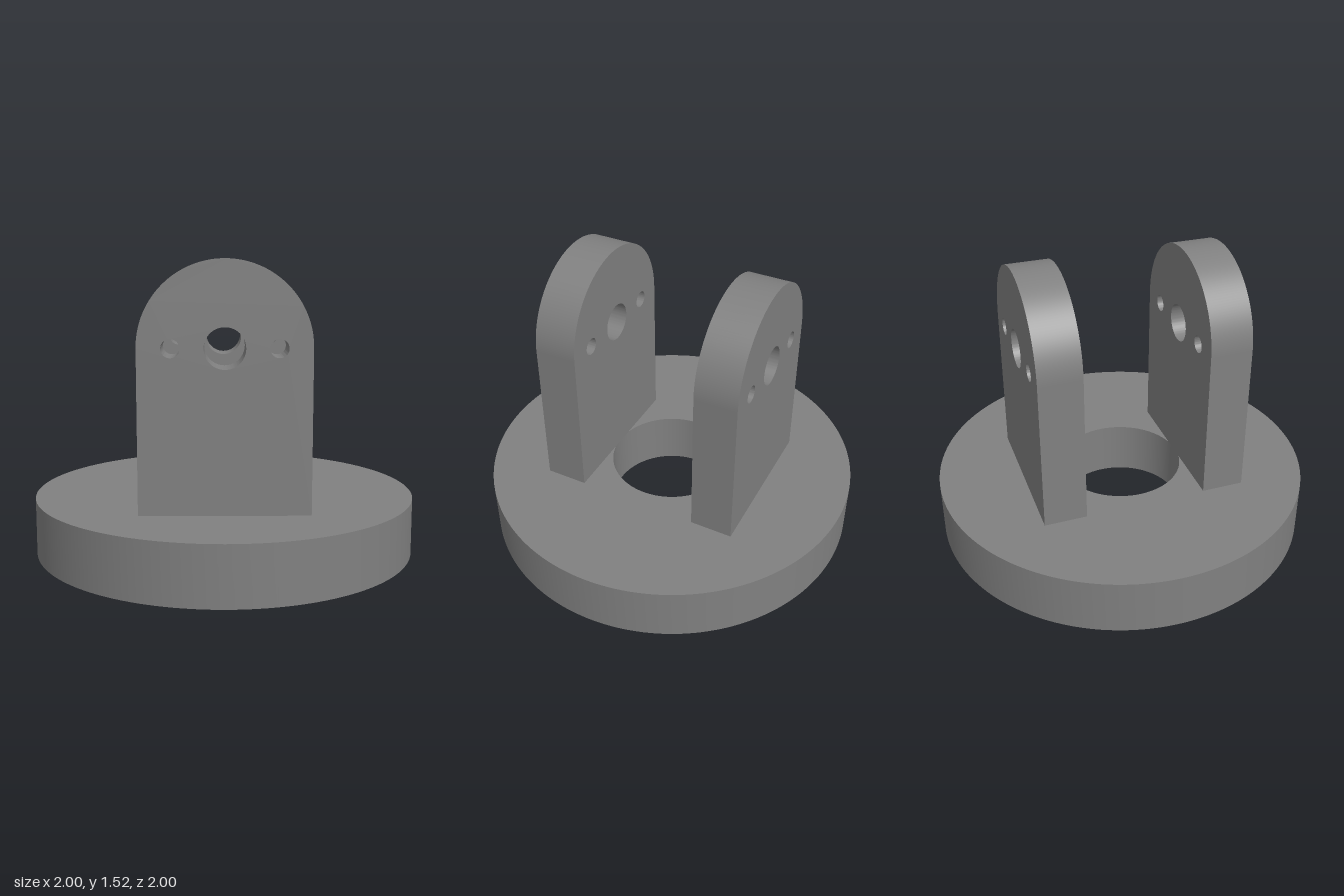
import * as THREE from 'three';
import { toCreasedNormals } from 'three/addons/utils/BufferGeometryUtils.js';

const BASE_H = 0.295, BASE_R = 1, BORE_R = 0.333;
const LUG_W = 0.418, LUG_T = 0.224, LUG_Z = 0.437, PIN_Y = 1.1;

function circleHole(x, y, r) {
  return new THREE.Path().absarc(x, y, r, 0, Math.PI * 2, true);
}

function extrude(shape, depth, curveSegments) {
  const geometry = new THREE.ExtrudeGeometry(shape, { depth, curveSegments, bevelEnabled: false });
  return toCreasedNormals(geometry, 0.5);
}

export function createModel() {
  const model = new THREE.Group();
  model.name = 'clevisBracket';
  const grey = new THREE.MeshStandardMaterial({ color: 0x808080 });
  grey.name = 'mid grey';

  // Round base plate with a central bore
  const disc = new THREE.Shape().absarc(0, 0, BASE_R, 0, Math.PI * 2, false);
  disc.holes.push(circleHole(0, 0, BORE_R));
  const base = new THREE.Mesh(extrude(disc, BASE_H, 96).rotateX(-Math.PI / 2), grey);
  base.name = 'basePlate';
  model.add(base);

  // Round-topped lug with a pin hole and two bolt holes
  const outline = new THREE.Shape();
  outline.moveTo(-LUG_W, BASE_H);
  outline.lineTo(LUG_W, BASE_H);
  outline.lineTo(LUG_W, PIN_Y);
  outline.absarc(0, PIN_Y, LUG_W, 0, Math.PI, false);
  outline.closePath();
  outline.holes.push(circleHole(0, PIN_Y, 0.1));
  for (const side of [-1, 1]) outline.holes.push(circleHole(side * 0.258, PIN_Y, 0.045));
  const lugGeometry = extrude(outline, LUG_T, 48).translate(0, 0, -LUG_T / 2);

  // Matching front and back lugs
  for (const [name, side] of [['frontLug', 1], ['backLug', -1]]) {
    const lug = new THREE.Mesh(lugGeometry, grey);
    lug.name = name;
    lug.position.z = side * LUG_Z;
    model.add(lug);
  }
  return model;
}
